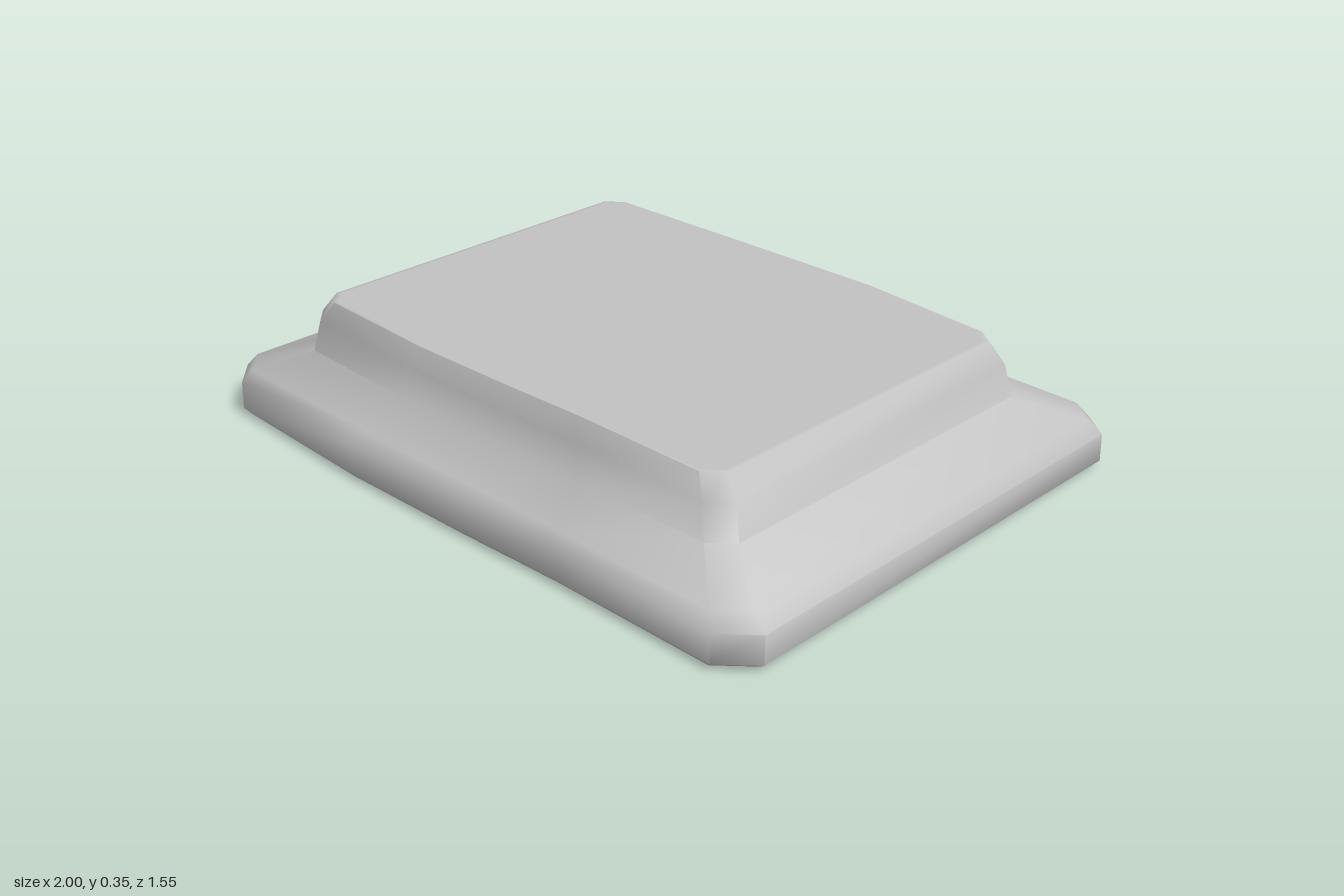
import * as THREE from 'three';
import { toCreasedNormals, mergeVertices } from 'three/addons/utils/BufferGeometryUtils.js';

// Outline at one height: a rectangle with cut corners and slightly bowed front and back.
// hx: half width, front/back: z at the corners, cut: corner size,
// bowF/bowB: outward bow, dip: how far the back left corner is pulled in
function outline({ y, hx, front, back, cut, bowF, bowB, dip = 0 }) {
  const e = hx - cut;
  return [
    [-e, front], [-0.4 * hx, front + bowF], [0.05 * hx, front + bowF * 0.6],
    [0.4 * hx, front], [e, front],
    [hx, front - cut * 0.9], [hx, -back + dip + cut * 0.8],
    [e, -back + dip], [0.38 * hx, -back - bowB], [-0.3 * hx, -back - bowB * 0.7], [-e, -back],
    [-hx, -back + cut * 0.8], [-hx, front - cut * 0.9],
  ].map(([x, z]) => [x, y, z]);
}

// Shrinks an outline towards its middle, for the flat caps
const shrink = (ring, k) => ring.map(([x, y, z]) => [x * k, y, z * k]);

// Joins successive outlines, from bottom to top, into one skin
function loft(rings) {
  const pos = [];
  const tri = (a, b, c) => pos.push(...a, ...b, ...c);
  const n = rings[0].length;
  for (let i = 0; i < rings.length - 1; i++) {
    for (let j = 0; j < n; j++) {
      const k = (j + 1) % n;
      const [a, b, c, d] = [rings[i][j], rings[i][k], rings[i + 1][k], rings[i + 1][j]];
      if (i > 0) tri(a, b, c);
      else tri(a, c, d);
      if (i > 0 && i < rings.length - 2) tri(a, c, d);
    }
  }
  const geo = new THREE.BufferGeometry();
  geo.setAttribute('position', new THREE.Float32BufferAttribute(pos, 3));
  return toCreasedNormals(mergeVertices(geo), 1.0);
}

export function createModel() {
  const group = new THREE.Group();
  group.name = 'steppedPlinth';
  const stone = new THREE.MeshStandardMaterial({ color: 0xc2c2c2 });
  stone.name = 'plain grey';

  // Wide base, its sloping shoulder, then the raised block
  const rings = [
    { y: 0, hx: 0.975, front: 0.735, back: 0.74, cut: 0.085, bowF: 0.02, bowB: 0.015 },
    { y: 0.02, hx: 1, front: 0.752, back: 0.76, cut: 0.09, bowF: 0.02, bowB: 0.017 },
    { y: 0.1, hx: 1, front: 0.75, back: 0.757, cut: 0.09, bowF: 0.015, bowB: 0.015 },
    { y: 0.14, hx: 0.965, front: 0.728, back: 0.73, cut: 0.08, bowF: 0.005, bowB: 0.008 },
    { y: 0.205, hx: 0.81, front: 0.605, back: 0.602, cut: 0.06, bowF: 0.017, bowB: 0.01, dip: 0.03 },
    { y: 0.295, hx: 0.79, front: 0.592, back: 0.59, cut: 0.06, bowF: 0.017, bowB: 0.01, dip: 0.03 },
    { y: 0.355, hx: 0.745, front: 0.565, back: 0.562, cut: 0.05, bowF: 0.017, bowB: 0.01, dip: 0.03 },
  ].map(outline);
  const bottom = rings[0];
  const top = rings[rings.length - 1];

  const body = new THREE.Mesh(loft([
    shrink(bottom, 0), shrink(bottom, 0.985), ...rings, shrink(top, 0.985), shrink(top, 0),
  ]), stone);
  body.name = 'plinthBody';
  group.add(body);
  return group;
}
